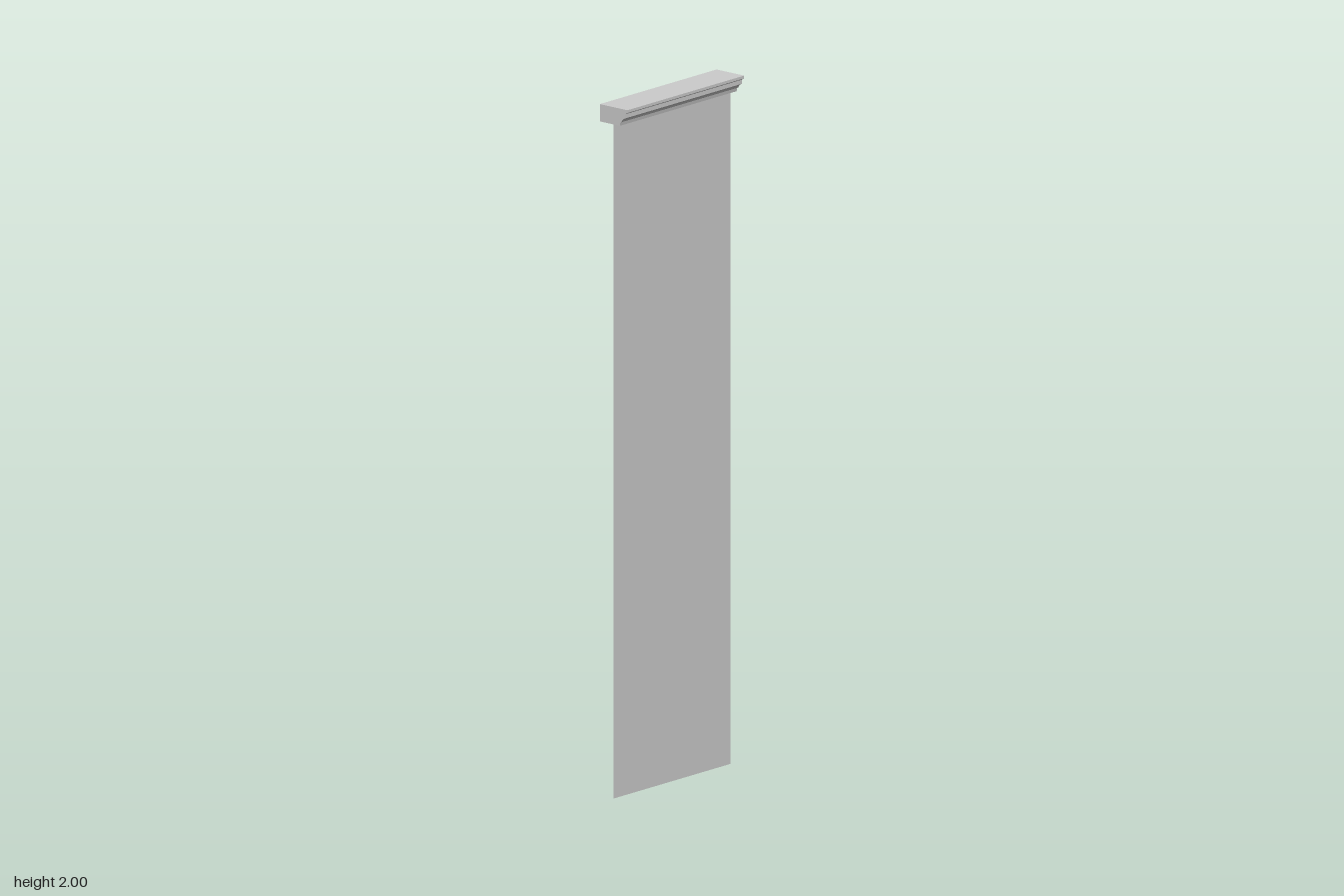
import * as THREE from 'three';

const WIDTH = 0.498;
const HEIGHT = 2;
const CORNICE_BOTTOM = 1.95;

const material = new THREE.MeshStandardMaterial({ color: 0xcccccc, flatShading: true });
const thinMaterial = new THREE.MeshStandardMaterial({ color: 0xcccccc, side: THREE.DoubleSide });

// Moulded cornice: side profile (forward, up) swept across the width
function createCornice() {
  const profile = new THREE.Shape();
  profile.moveTo(-0.051, CORNICE_BOTTOM);
  profile.lineTo(0.023, CORNICE_BOTTOM);
  profile.lineTo(0.025, 1.96);
  profile.lineTo(0.03, 1.963);
  profile.quadraticCurveTo(0.034, 1.972, 0.043, 1.975); // cove
  profile.lineTo(0.043, 1.987);
  profile.lineTo(0.051, 1.992); // top lip
  profile.lineTo(0.051, HEIGHT);
  profile.lineTo(-0.051, HEIGHT);
  profile.closePath();

  const geometry = new THREE.ExtrudeGeometry(profile, {
    depth: WIDTH, bevelEnabled: false, curveSegments: 4,
  });
  // Turn the profile so that its forward axis is +z and the sweep runs along x
  geometry.translate(0, 0, -WIDTH / 2);
  geometry.rotateY(-Math.PI / 2);
  const cornice = new THREE.Mesh(geometry, material);
  cornice.name = 'cornice';
  return cornice;
}

// Thin flat sheet hanging below the middle of the cornice
function createPanel() {
  const panel = new THREE.Mesh(new THREE.PlaneGeometry(WIDTH, CORNICE_BOTTOM), thinMaterial);
  panel.position.y = CORNICE_BOTTOM / 2;
  panel.name = 'hangingPanel';
  return panel;
}

export function createModel() {
  const model = new THREE.Group();
  model.name = 'corniceWithPanel';
  model.add(createCornice(), createPanel());
  return model;
}
